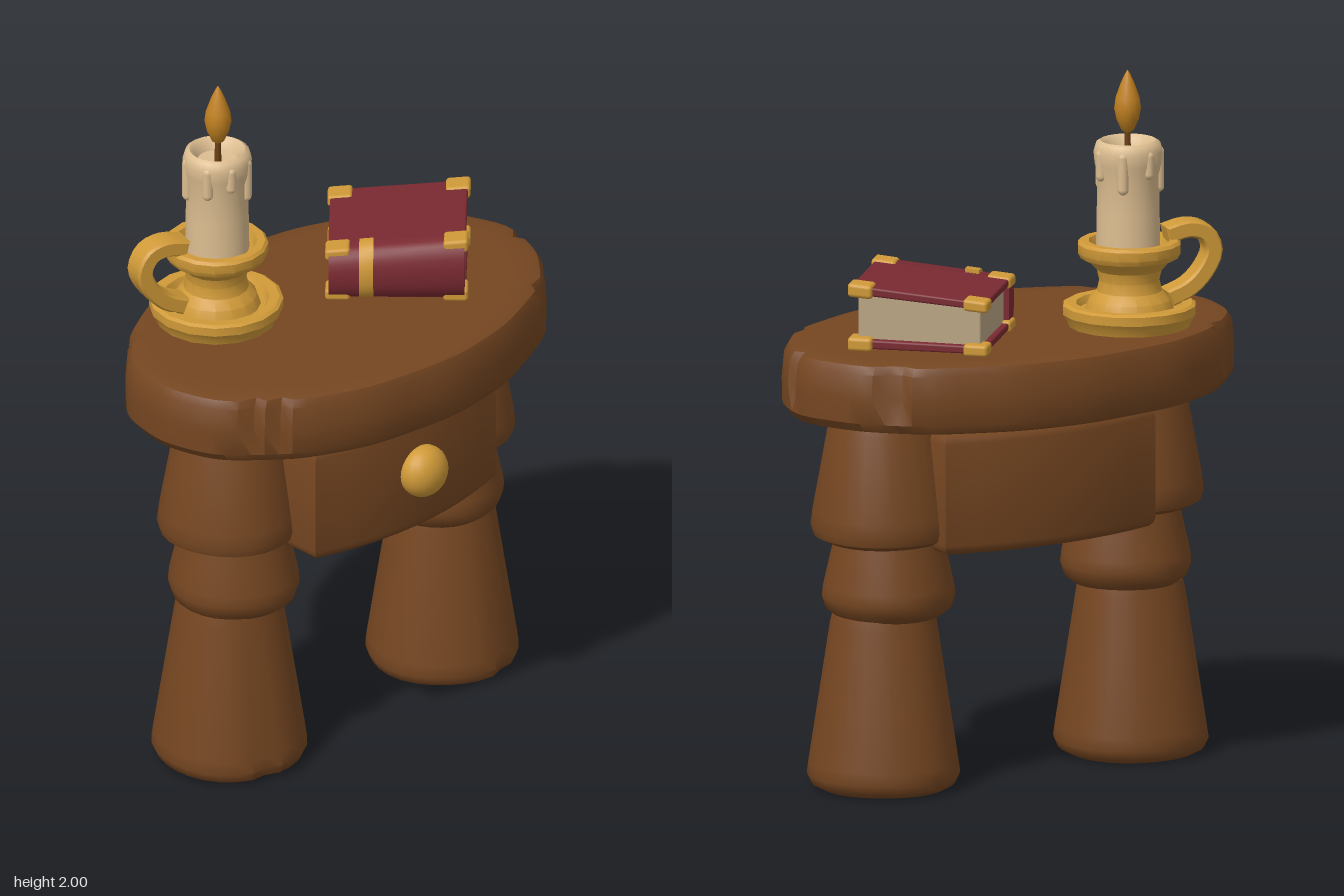
import * as THREE from 'three';
import { toCreasedNormals } from 'three/addons/utils/BufferGeometryUtils.js';
import { RoundedBoxGeometry } from 'three/addons/geometries/RoundedBoxGeometry.js';

const material = (name, color) => {
  const m = new THREE.MeshStandardMaterial({ color });
  m.name = name;
  return m;
};

export function createModel() {
  const wood = material('wood', 0x754621);
  const gold = material('gold', 0xd09a38);
  const red = material('red leather', 0x7a2a31);
  const wax = material('wax', 0xdcbd90);
  const paper = material('paper', 0xbaa684);
  const flameColor = material('flame amber', 0xc08020);
  const wickColor = material('wick brown', 0x6a3f14);

  const model = new THREE.Group();
  model.name = 'bedsideTable';

  const group = (name, parent = model) => {
    const g = new THREE.Group();
    g.name = name;
    parent.add(g);
    return g;
  };
  const add = (parent, name, geometry, mat, x = 0, y = 0, z = 0) => {
    const mesh = new THREE.Mesh(geometry, mat);
    mesh.name = name;
    mesh.position.set(x, y, z);
    parent.add(mesh);
    return mesh;
  };
  // Move every vertex of a geometry by a rule
  const warp = (geometry, rule) => {
    const p = geometry.attributes.position;
    const v = new THREE.Vector3();
    for (let i = 0; i < p.count; i++) {
      rule(v.fromBufferAttribute(p, i));
      p.setXYZ(i, v.x, v.y, v.z);
    }
    return geometry;
  };
  const lathe = (points, sides) =>
    new THREE.LatheGeometry(points.map(([r, y]) => new THREE.Vector2(r, y)), sides);
  const crease = (geometry, angle = 0.6) => toCreasedNormals(geometry, angle);

  // Oval table top with a worn rim and small cracks
  const cracks = [0.85, 1.48, 2.2, -0.82, -1.0, -2.25];
  const top = lathe([[0, 1.065], [0.62, 1.065], [0.67, 1.075], [0.69, 1.1], [0.692, 1.17],
    [0.685, 1.24], [0.67, 1.262], [0.64, 1.27], [0.58, 1.27], [0, 1.27]], 90);
  warp(top, (v) => {
    const r = Math.hypot(v.x, v.z);
    const a = Math.atan2(v.x, v.z);
    let k = 1;
    if (r > 0.6) {
      k += 0.004 * Math.sin(a * 9) + 0.003 * Math.sin(a * 16 + 1);
      if (v.y > 1.12 && cracks.some((c) => Math.abs(a - c) < 0.036)) k -= 0.035;
    }
    v.x *= k;
    v.z *= k * 0.655;
  });
  add(model, 'tableTop', crease(top), wood);

  // Legs of three stacked flared tiers
  const tiers = [
    ['lowerLeg', 0.412, [[0, 0.005], [0.18, 0.005], [0.205, 0.018], [0.217, 0.045], [0.212, 0.08],
      [0.152, 0.47], [0.145, 0.5], [0, 0.51]]],
    ['middleLeg', 0.395, [[0, 0.49], [0.15, 0.495], [0.175, 0.515], [0.186, 0.55], [0.182, 0.58],
      [0.15, 0.72], [0, 0.73]]],
    ['upperLeg', 0.412, [[0, 0.7], [0.165, 0.71], [0.195, 0.725], [0.203, 0.75], [0.198, 0.79],
      [0.155, 1.03], [0.14, 1.07], [0, 1.08]]],
  ];
  for (const side of [-1, 1]) {
    const leg = group(side > 0 ? 'leftLeg' : 'rightLeg');
    tiers.forEach(([name, x, profile], t) => {
      const geo = warp(lathe(profile, 28), (v) => {
        const a = Math.atan2(v.x, v.z);
        let k = 1 + 0.012 * Math.sin(a * 4 + t * 2 + side);
        // Split at the foot
        if (t === 0 && v.y < 0.1 && Math.abs(a - 0.225 * side) < 0.1) k -= 0.06;
        v.x *= k;
        v.z *= k;
      });
      add(leg, name, crease(geo, 0.7), wood, x * side);
    });
  }

  // Drawer box, bowed at the front and back
  const plan = new THREE.Shape();
  plan.moveTo(-0.32, -0.2);
  plan.quadraticCurveTo(0, -0.3, 0.32, -0.2);
  plan.lineTo(0.32, 0.26);
  plan.quadraticCurveTo(0, 0.36, -0.32, 0.26);
  plan.closePath();
  const drawer = new THREE.ExtrudeGeometry(plan, {
    depth: 0.29, bevelEnabled: true, bevelSize: 0.03, bevelThickness: 0.03, bevelSegments: 3, curveSegments: 10,
  });
  drawer.rotateX(Math.PI / 2);
  add(model, 'drawer', crease(drawer, 0.7), wood, 0, 1.01, 0);
  const knob = new THREE.SphereGeometry(0.076, 20, 14);
  knob.scale(1, 1, 0.8);
  add(model, 'drawerKnob', knob, gold, 0, 0.88, 0.355);

  // Candle holder: saucer, waisted stem and cup
  const candle = group('candlestick');
  candle.position.set(-0.29, 0, -0.18);
  add(candle, 'candleHolder', crease(lathe([[0, 1.27], [0.17, 1.27], [0.178, 1.29], [0.188, 1.305], [0.188, 1.33],
    [0.178, 1.336], [0.15, 1.335], [0.14, 1.315], [0.125, 1.315], [0.115, 1.345], [0.092, 1.37], [0.085, 1.4],
    [0.092, 1.43], [0.115, 1.455], [0.138, 1.465], [0.146, 1.48], [0.146, 1.505], [0.138, 1.513],
    [0.115, 1.513], [0.105, 1.49], [0, 1.49]], 16), 0.5), gold);

  // Curled strap handle
  const curl = new THREE.CatmullRomCurve3([[0.11, 1.525], [0.165, 1.538], [0.215, 1.525], [0.24, 1.475],
    [0.215, 1.415], [0.17, 1.37], [0.115, 1.345]].map(([x, y]) => new THREE.Vector3(x, y, 0)));
  const outer = [];
  const inner = [];
  for (let i = 0; i <= 18; i++) {
    const p = curl.getPoint(i / 18);
    const t = curl.getTangent(i / 18);
    outer.push(new THREE.Vector2(p.x - t.y * 0.018, p.y + t.x * 0.018));
    inner.unshift(new THREE.Vector2(p.x + t.y * 0.018, p.y - t.x * 0.018));
  }
  const strap = new THREE.ExtrudeGeometry(new THREE.Shape([...outer, ...inner]), {
    depth: 0.06, bevelEnabled: true, bevelSize: 0.006, bevelThickness: 0.008, bevelSegments: 1,
  });
  strap.translate(0, 0, -0.03);
  add(candle, 'holderHandle', crease(strap, 0.5), gold).rotation.y = Math.PI - 0.28;

  // Candle with a hollow top and wax drips
  add(candle, 'candleBody', crease(lathe([[0, 1.48], [0.09, 1.48], [0.088, 1.6], [0.086, 1.7], [0.094, 1.735],
    [0.097, 1.77], [0.09, 1.793], [0.078, 1.8], [0.066, 1.79], [0.056, 1.765], [0, 1.757]], 24), 0.9), wax, 0.004);
  const drips = [[-0.3, 0.05], [0.5, 0.1], [1.5, 0.06], [2.4, 0.09], [3.3, 0.05], [4.2, 0.1], [5.2, 0.07]];
  for (const [a, length] of drips) {
    add(candle, 'waxDrip', new THREE.CapsuleGeometry(0.016, length, 4, 10), wax,
      0.004 + Math.sin(a) * 0.085, 1.765 - length / 2, Math.cos(a) * 0.085);
  }
  add(candle, 'wick', new THREE.CylinderGeometry(0.008, 0.01, 0.1, 8), wickColor, 0.004, 1.795, 0.003);
  add(candle, 'flame', lathe([[0, 1.815], [0.018, 1.828], [0.032, 1.86], [0.038, 1.89], [0.034, 1.92],
    [0.02, 1.96], [0.008, 1.987], [0, 2]], 16), flameColor, 0.004, 0, 0.003);

  // Book lying askew, thicker towards its front end
  const book = group('book');
  book.position.set(0.27, 1.272, -0.03);
  book.rotation.y = Math.PI / 4;
  const taper = (geometry) => warp(geometry, (v) => { v.y *= 1 + 0.55 * v.z; });
  const block = (name, mat, w, h, d, x, y, z, r = 0.006) => {
    const geo = new RoundedBoxGeometry(w, h, d, 2, r);
    geo.translate(x, y, z);
    add(book, name, taper(geo), mat);
  };
  block('pages', paper, 0.33, 0.14, 0.35, 0.002, 0.084, 0);
  for (const y of [0.014, 0.154]) {
    block('cover', red, 0.365, 0.024, 0.385, 0.005, y, 0);
    for (const x of [-0.155, 0.165]) {
      for (const z of [-0.165, 0.165]) {
        block('cornerGuard', gold, 0.07, 0.036, 0.07, x, y, z, 0.01);
      }
    }
  }
  // Rounded spine and its band
  const spine = (name, mat, grow, length, z) => {
    const s = new THREE.Shape();
    s.moveTo(-0.14, 0.168 + grow);
    s.lineTo(-0.17, 0.168 + grow);
    s.bezierCurveTo(-0.222 - grow, 0.15, -0.222 - grow, 0.018, -0.17, 0.002 - grow * 0.3);
    s.lineTo(-0.14, 0.002 - grow * 0.3);
    s.closePath();
    const geo = new THREE.ExtrudeGeometry(s, { depth: length, bevelEnabled: false, curveSegments: 10 });
    geo.translate(0, 0, z - length / 2);
    add(book, name, crease(taper(geo), 0.6), mat);
  };
  spine('spine', red, 0, 0.38, 0);
  spine('spineBand', gold, 0.01, 0.04, -0.085);

  return model;
}
